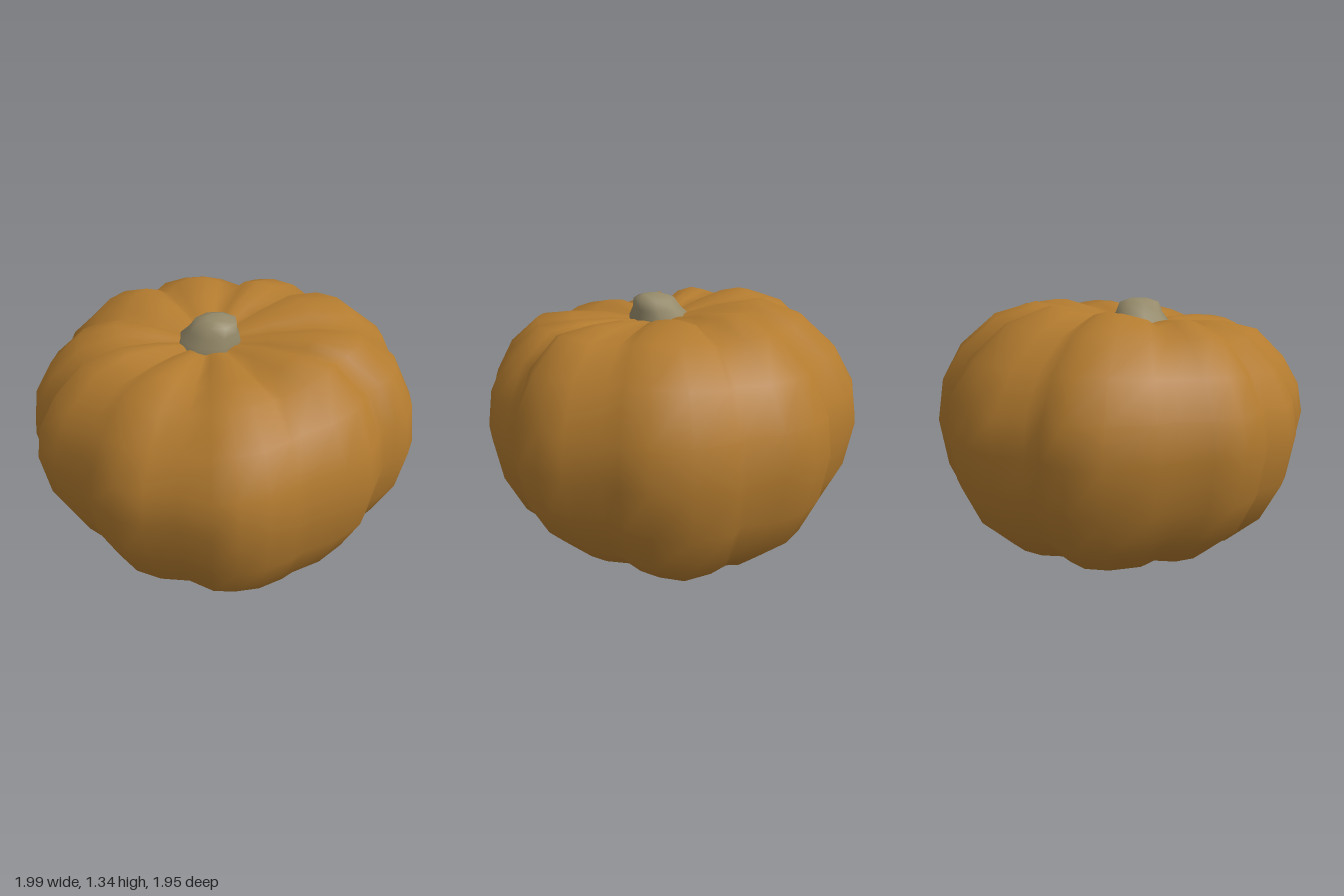
import * as THREE from 'three';

// Ribs of the pumpkin seen from above, as [x, z]; each starts at its groove.
const RIBS = [
  [[-0.14, -0.91], [-0.02, -0.98], [0.15, -0.97], [0.3, -0.92], [0.42, -0.84]],
  [[0.52, -0.7], [0.66, -0.68], [0.77, -0.58], [0.86, -0.42]],
  [[0.87, -0.25], [0.94, -0.2], [0.99, 0], [0.97, 0.18], [0.92, 0.31]],
  [[0.85, 0.39], [0.82, 0.55], [0.75, 0.66], [0.65, 0.75], [0.55, 0.78]],
  [[0.48, 0.78], [0.42, 0.83], [0.32, 0.91], [0.15, 0.95]],
  [[-0.02, 0.94], [-0.1, 0.96], [-0.25, 0.97], [-0.38, 0.94], [-0.49, 0.89]],
  [[-0.58, 0.77], [-0.72, 0.69], [-0.82, 0.58], [-0.87, 0.42]],
  [[-0.88, 0.3], [-0.96, 0.14], [-1, -0.02]],
  [[-0.93, -0.12], [-0.96, -0.23], [-0.93, -0.38], [-0.85, -0.5]],
  [[-0.73, -0.59], [-0.69, -0.7], [-0.53, -0.86], [-0.38, -0.94], [-0.25, -0.93]],
];

// Side profile: [fraction of the outline, height].
const PROFILE = [
  [0, 0.04], [0.2, 0.03], [0.45, 0.03], [0.68, 0.125], [0.86, 0.29], [0.96, 0.5], [1, 0.74],
  [0.97, 0.92], [0.87, 1.1], [0.7, 1.25], [0.5, 1.3], [0.3, 1.28], [0.15, 1.245], [0, 1.23],
];
const STEM = { x: -0.1, z: 0.055 };

function bodyGeometry() {
  // One column per outline point, with the groove depth there (1 in a groove)
  const columns = RIBS.flatMap((rib) => rib.map(([x, z], j) => (
    { x, z, groove: 1 - Math.sin(Math.PI * j / rib.length) })));
  const cols = columns.length, rows = PROFILE.length - 1;
  const pos = [], index = [];
  const smooth = THREE.MathUtils.smoothstep;

  for (const [t, y] of PROFILE) {
    const upper = smooth(y, 0.74, 1.22), crown = upper * (1 - smooth(t, 0.5, 0.78));
    const lower = 1 - smooth(y, 0.1, 0.74);
    for (const c of columns) {
      // Rings drift toward the stem near the top
      const drift = upper * (1 - t);
      const x = c.x * t + STEM.x * drift, z = c.z * t + STEM.z * drift;
      // The top leans up to the left, its crown up to the back
      const topLean = upper * (0.06 * x + 0.06 * x * z) - crown * 0.09 * z;
      // The underside is cut away at the front left and sags at the back right
      const corner = x > 0 && z > 0 ? 0.3 * x * z : x < 0 && z < 0 ? -0.12 * x * z : 0;
      const baseLean = lower * (corner - 0.05 * x - 0.03 * z);
      // Grooves dip into the top and underside
      const dip = (0.02 * lower - 0.05 * upper) * c.groove * Math.sin(Math.PI * t) ** 2;
      pos.push(x, y + topLean + baseLean + dip, z);
    }
  }
  for (let r = 0; r < rows; r++) {
    for (let k = 0; k < cols; k++) {
      const n = (k + 1) % cols;
      const a = r * cols + k, b = r * cols + n, c = a + cols, d = b + cols;
      // Single triangles close the two poles
      if (r === 0) index.push(a, c, d);
      else if (r === rows - 1) index.push(a, c, b);
      else index.push(a, c, b, b, c, d);
    }
  }
  const geo = new THREE.BufferGeometry();
  geo.setAttribute('position', new THREE.Float32BufferAttribute(pos, 3));
  geo.setIndex(index);
  geo.computeVertexNormals();
  return geo;
}

export function createModel() {
  const orange = new THREE.MeshStandardMaterial({ color: 0xb37b2f });
  orange.name = 'pumpkin orange';
  const grey = new THREE.MeshStandardMaterial({ color: 0x958a6a });
  grey.name = 'stem grey';

  const model = new THREE.Group();
  model.name = 'pumpkin';

  const body = new THREE.Mesh(bodyGeometry(), orange);
  body.name = 'ribbedBody';
  model.add(body);

  // Short flared stump with a domed top, leaning forward
  const stumpProfile = [[0.17, -0.04], [0.155, 0.01], [0.125, 0.05], [0.105, 0.1], [0.05, 0.118], [0, 0.12]];
  const stumpGeometry = new THREE.LatheGeometry(stumpProfile.map(([r, y]) => new THREE.Vector2(r, y)), 8);
  stumpGeometry.applyMatrix4(new THREE.Matrix4().makeShear(0, 0, 0.2, 0.3, 0, 0));
  const stem = new THREE.Mesh(stumpGeometry, grey);
  stem.name = 'stem';
  stem.position.set(STEM.x, 1.23, STEM.z);
  model.add(stem);

  return model;
}
